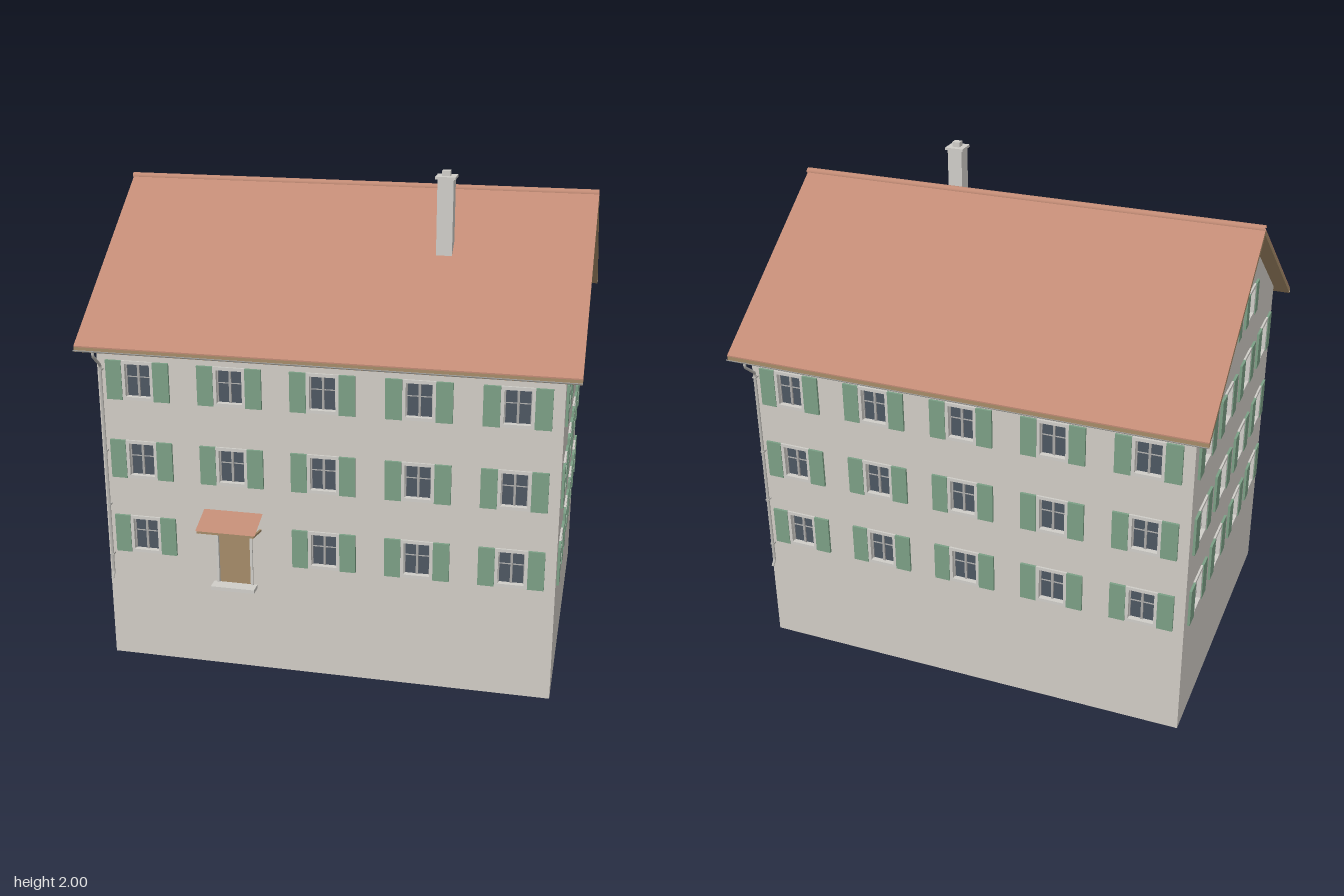
import * as THREE from 'three';

const mat = (name, color, side = THREE.FrontSide) => {
  const m = new THREE.MeshStandardMaterial({ color, side });
  m.name = name;
  return m;
};

export function createModel() {
  const plaster = mat('plaster', 0xd0cbc4);
  const stone = mat('stone', 0xcfcdc8);
  const tile = mat('tile', 0xc08a74, THREE.DoubleSide);
  const wood = mat('wood', 0xa58b68);
  const green = mat('shutterGreen', 0x7b9f85);
  const glass = mat('glass', 0x4d5762);
  const metal = mat('metal', 0xbab8b3, THREE.DoubleSide);
  const bar = mat('windowBar', 0xa9a8a6);

  const house = new THREE.Group();
  house.name = 'house';
  const HX = 0.9025, HZ = 0.6525;          // half width and half depth of the walls
  const RIDGE = 1.885, EAVE = 1.36, RZ = 0.725, ROOF_X = 0.9625;

  const add = (parent, name, geo, material, x = 0, y = 0, z = 0) => {
    const m = new THREE.Mesh(geo, material);
    m.name = name;
    m.position.set(x, y, z);
    parent.add(m);
    return m;
  };
  const box = (parent, name, material, w, h, d, x, y, z) =>
    add(parent, name, new THREE.BoxGeometry(w, h, d), material, x, y, z);
  const poly = (pts) => new THREE.Shape(pts.map(([x, y]) => new THREE.Vector2(x, y)));
  const rect = (x, y, w, h) => poly([[x - w / 2, y - h / 2], [x + w / 2, y - h / 2],
    [x + w / 2, y + h / 2], [x - w / 2, y + h / 2]]);
  const extrude = (shape, depth) => new THREE.ExtrudeGeometry(shape, { depth, bevelEnabled: false });

  // Window with stone surround, glazing bars and a pair of shutters
  function addWindow(parent, { x, y, w, h, sw }) {
    const g = new THREE.Group();
    g.name = 'window';
    g.position.set(x, y, 0);
    parent.add(g);
    const iw = w - 0.026, ih = h - 0.026;
    const ring = rect(0, 0, w, h);
    ring.holes.push(rect(0, 0, iw, ih));
    add(g, 'windowSurround', extrude(ring, 0.028), stone, 0, 0, -0.02);
    box(g, 'windowGlass', glass, iw, ih, 0.004, 0, 0, -0.016);
    box(g, 'windowMullion', bar, 0.009, ih, 0.008, 0, 0, -0.011);
    box(g, 'windowRail', bar, iw, 0.003, 0.005, 0, 0.012, -0.012);
    for (const s of [-1, 1]) {
      box(g, 'windowStile', bar, 0.004, ih, 0.006, s * (iw / 2 - 0.002), 0, -0.012);
      box(g, 'shutter', green, sw, h, 0.01, s * (w + sw) / 2, 0, 0.006);
    }
  }

  // Wall panel with openings, facing local +z
  function addFacade(name, outline, windows, door) {
    const g = new THREE.Group();
    g.name = name;
    const wall = poly(outline);
    windows.forEach((o) => wall.holes.push(rect(o.x, o.y, o.w - 0.004, o.h - 0.004)));
    if (door) wall.holes.push(rect(door.x, door.y, door.w, door.h));
    add(g, 'wall', extrude(wall, 0.02), plaster, 0, 0, -0.02);
    windows.forEach((o) => addWindow(g, o));
    house.add(g);
    return g;
  }

  const rows = [0.555, 0.88, 1.21];
  const grid = (columns, w) => rows.flatMap((y) => columns.map((x) => ({ x, y, w, h: 0.16, sw: 0.064 })));
  const longWindows = grid([-0.738, -0.369, -0.003, 0.366, 0.732], 0.127);
  const gableWindows = [...grid([-0.48, -0.16, 0.16, 0.48], 0.122),
    ...[-0.142, 0.142].map((x) => ({ x, y: 1.515, w: 0.112, h: 0.134, sw: 0.05 }))];
  const slope = (RIDGE - EAVE) / RZ;
  const wallTop = RIDGE - 0.024 - slope * HZ;
  const longWall = [[-HX, 0], [HX, 0], [HX, wallTop], [-HX, wallTop]];
  const gableWall = [[-HZ, 0], [HZ, 0], [HZ, wallTop], [0, RIDGE - 0.024], [-HZ, wallTop]];
  const door = { x: -0.37, y: 0.495, w: 0.13, h: 0.25 };

  const front = addFacade('frontFacade', longWall,
    longWindows.filter((o) => !(o.y === rows[0] && o.x === -0.369)), door);
  front.position.z = HZ;
  const back = addFacade('backFacade', longWall, longWindows);
  back.position.z = -HZ;
  back.rotation.y = Math.PI;
  for (const s of [-1, 1]) {
    const side = addFacade(s > 0 ? 'leftFacade' : 'rightFacade', gableWall, gableWindows);
    side.position.x = s * HX;
    side.rotation.y = s * Math.PI / 2;
  }

  // Entrance: door, surround, step and small canopy
  box(front, 'door', wood, door.w, door.h, 0.012, door.x, door.y, -0.012);
  box(front, 'doorLintel', stone, 0.15, 0.015, 0.012, door.x, 0.628, 0.002);
  for (const s of [-1, 1]) {
    box(front, 'doorJamb', stone, 0.01, door.h, 0.012, door.x + s * 0.07, door.y, 0.002);
    const bracket = box(front, 'canopyBracket', wood, 0.008, 0.008, 0.118, door.x + s * 0.109, 0.629, 0.059);
    bracket.rotation.x = -0.2;
  }
  box(front, 'doorStep', stone, 0.18, 0.016, 0.05, door.x, 0.367, 0.025);
  const canopy = add(front, 'canopyRoof', new THREE.PlaneGeometry(0.24, 0.127), tile, door.x, 0.669, 0.06);
  canopy.rotation.x = -Math.atan2(0.12, 0.042);
  box(front, 'canopyFascia', wood, 0.232, 0.01, 0.006, door.x, 0.643, 0.115);

  // Roof: wooden boards with a thin layer of tiles on each slope
  const band = (top, bottom) => {
    const y = (z, d) => RIDGE - slope * z - d;
    const geo = extrude(poly([[0, y(0, bottom)], [RZ, y(RZ, bottom)], [RZ, y(RZ, top)], [0, y(0, top)]]), 2 * ROOF_X);
    return geo.translate(0, 0, -ROOF_X).rotateY(-Math.PI / 2);
  };
  const halfPipe = (r, start) =>
    new THREE.CylinderGeometry(r, r, 2 * ROOF_X, 10, 1, true, start, Math.PI).rotateZ(Math.PI / 2);
  for (const turn of [0, Math.PI]) {
    const half = new THREE.Group();
    half.name = turn ? 'backRoof' : 'frontRoof';
    half.rotation.y = turn;
    house.add(half);
    add(half, 'roofBoards', band(0.005, 0.024), wood);
    add(half, 'roofTiles', band(0, 0.005), tile);
    add(half, 'gutter', halfPipe(0.009, Math.PI), metal, 0, 1.347, RZ + 0.003);

    // Downpipe bending from the gutter back to the wall
    const px = -0.885, pz = HZ + 0.014;
    const pts = [[1.345, RZ + 0.003], [1.322, RZ + 0.003], [1.27, pz], [0.375, pz], [0.355, pz + 0.018]]
      .map(([y, z]) => new THREE.Vector3(px, y, z));
    const path = new THREE.CurvePath();
    for (let i = 1; i < pts.length; i++) path.add(new THREE.LineCurve3(pts[i - 1], pts[i]));
    add(half, 'downpipe', new THREE.TubeGeometry(path, 80, 0.006, 8), metal);
    for (const y of [0.46, 0.68, 0.91, 1.25])
      box(half, 'pipeClip', metal, 0.015, 0.006, 0.022, px, y, HZ + 0.011);
  }
  add(house, 'ridgeCap', halfPipe(0.016, 0), tile, 0, RIDGE - 0.001, 0);

  // Chimney
  const cx = 0.395, cz = 0.258;
  box(house, 'chimneyStack', stone, 0.062, 0.33, 0.062, cx, 1.807, cz);
  box(house, 'chimneyCap', stone, 0.078, 0.01, 0.078, cx, 1.975, cz);
  box(house, 'chimneyPot', stone, 0.032, 0.022, 0.032, cx, 1.989, cz);

  house.position.z = -0.0175;
  const model = new THREE.Group();
  model.name = 'townHouse';
  model.add(house);
  return model;
}
